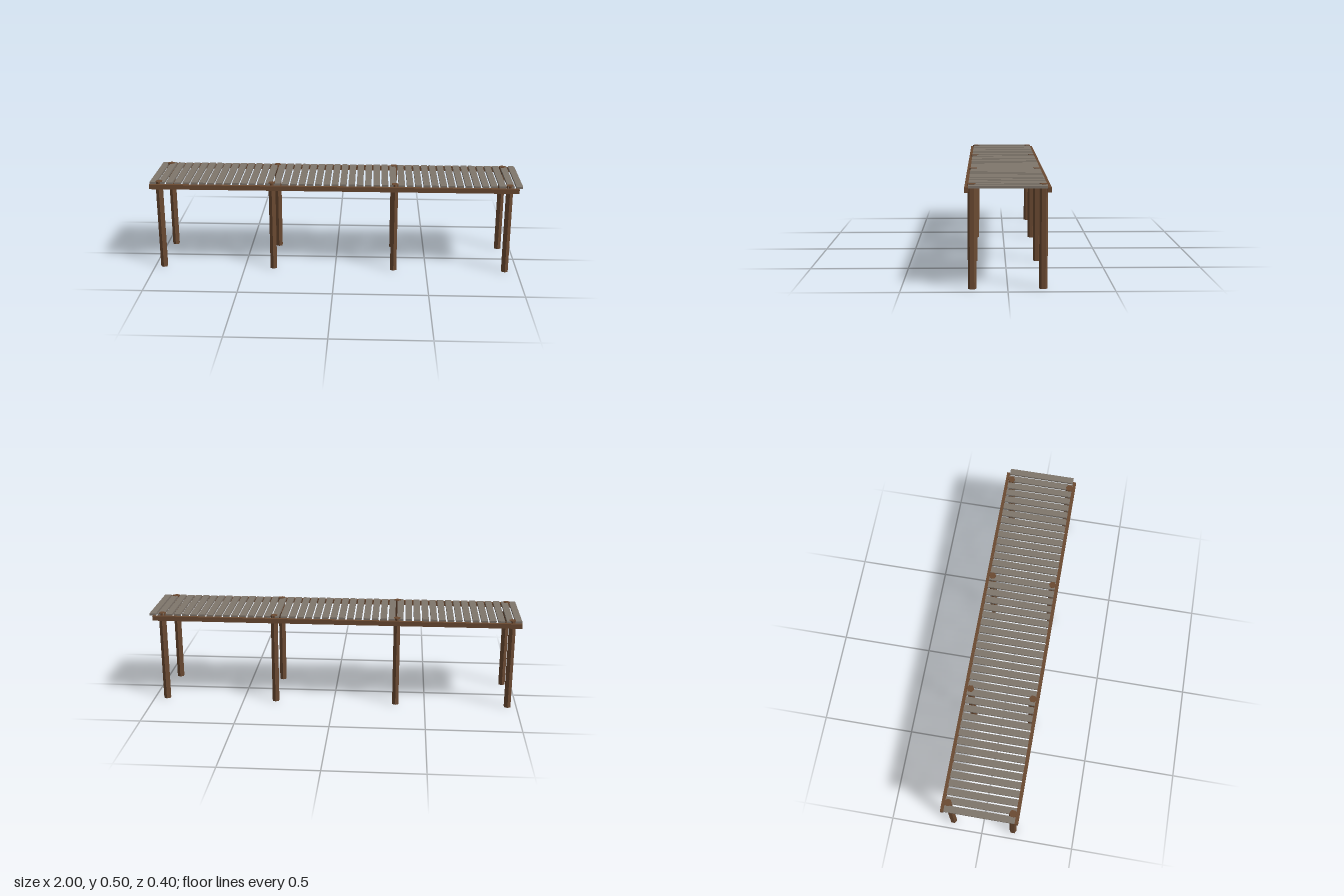
import * as THREE from 'three';

export function createModel() {
  const pier = new THREE.Group();
  pier.name = 'pier';

  const brownWood = new THREE.MeshStandardMaterial({ color: 0x6b4a32, flatShading: true });
  brownWood.name = 'brownWood';
  const greyWood = new THREE.MeshStandardMaterial({ color: 0x7f766c, flatShading: true });
  greyWood.name = 'greyWood';

  function add(name, geometry, material, x, y, z) {
    const mesh = new THREE.Mesh(geometry, material);
    mesh.name = name;
    mesh.position.set(x, y, z);
    pier.add(mesh);
  }

  // Deck: evenly spaced planks laid across the walkway
  const plankCount = 45;
  const plankWidth = 0.035;
  const plank = new THREE.BoxGeometry(plankWidth, 0.0115, 0.364);
  const pitch = (2 - plankWidth) / (plankCount - 1);
  for (let i = 0; i < plankCount; i++) {
    add('plank', plank, greyWood, -1 + plankWidth / 2 + i * pitch, 0.4888, 0);
  }

  // Side beams and six-sided posts, mirrored front to back
  const beam = new THREE.BoxGeometry(1.98, 0.025, 0.018);
  const postHeight = 0.4965;
  const post = new THREE.CylinderGeometry(0.02, 0.02, postHeight, 6);
  for (const side of [1, -1]) {
    add('sideBeam', beam, brownWood, -0.01, 0.4725, side * 0.191);
    for (const x of [-0.951, -0.34, 0.321, 0.932]) {
      add('post', post, brownWood, x, postHeight / 2, side * 0.1665);
    }
  }

  return pier;
}
